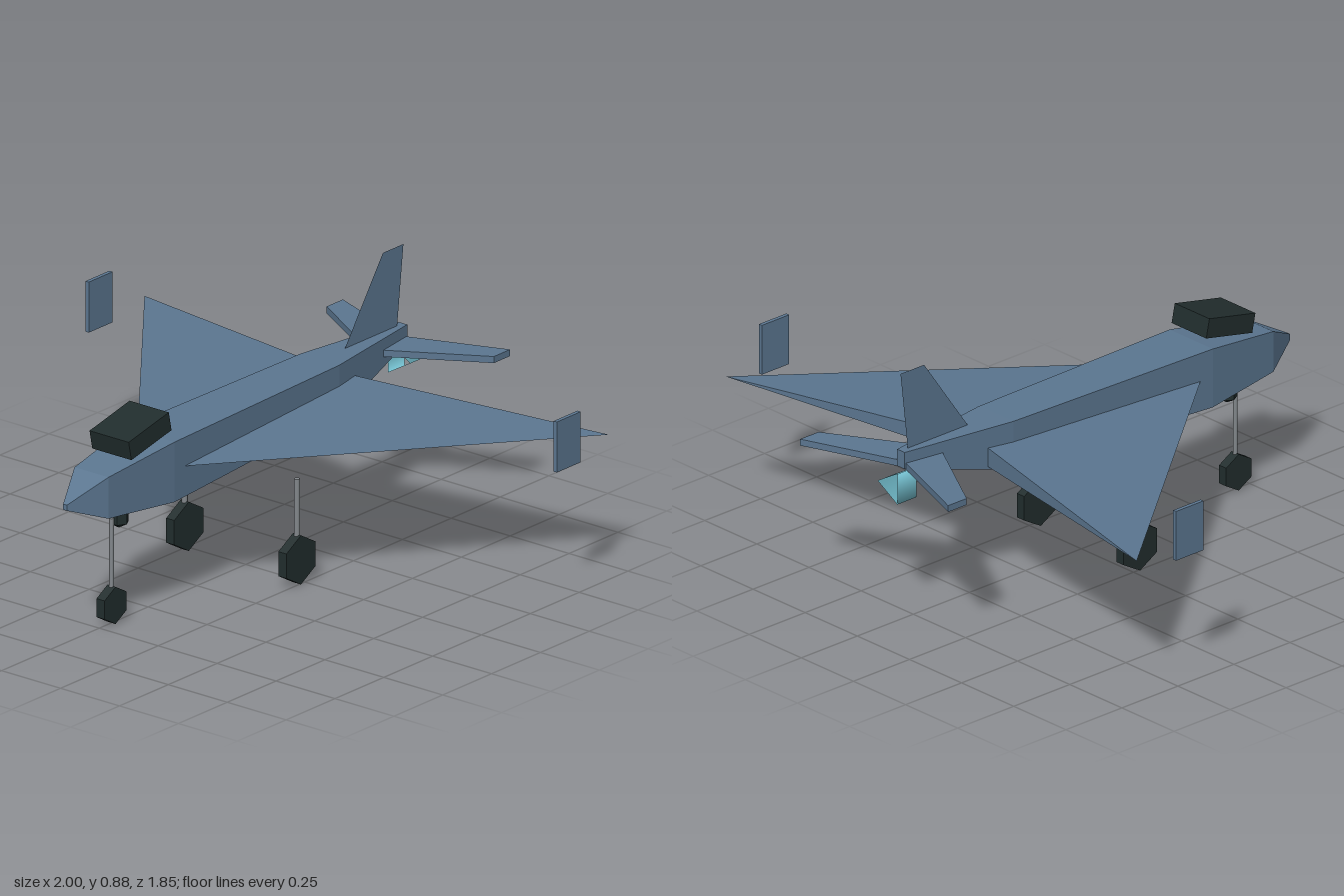
import * as THREE from 'three';
import { ConvexGeometry } from 'three/addons/geometries/ConvexGeometry.js';

const mat = (name, color) => new THREE.MeshStandardMaterial({ name, color });
const V = (x, y, z) => new THREE.Vector3(x, y, z);

// Faceted loft through rectangular sections [z, halfWidth, bottom, top], front to back
function loft(sections) {
  const pos = [], index = [];
  for (const [z, w, b, t] of sections) pos.push(-w, b, z, w, b, z, w, t, z, -w, t, z);
  for (let s = 0; s < sections.length - 1; s++) {
    for (let i = 0; i < 4; i++) {
      const a = s * 4 + i, b = s * 4 + (i + 1) % 4;
      index.push(a, a + 4, b + 4, a, b + 4, b);
    }
  }
  const e = (sections.length - 1) * 4;
  index.push(0, 1, 2, 0, 2, 3, e, e + 2, e + 1, e, e + 3, e + 2);
  const g = new THREE.BufferGeometry();
  g.setAttribute('position', new THREE.Float32BufferAttribute(pos, 3));
  g.setIndex(index);
  const flat = g.toNonIndexed();
  flat.computeVertexNormals();
  return flat;
}

export function createModel() {
  const model = new THREE.Group();
  const blue = mat('bodyBlue', 0x5b7690);
  const dark = mat('darkGlassAndRubber', 0x212d2d);
  const grey = mat('strutGrey', 0x83888c);
  const cyan = mat('exhaustCyan', 0x78c6d6);
  blue.side = cyan.side = THREE.DoubleSide;

  const add = (name, geometry, material, x = 0, y = 0, z = 0) => {
    const m = new THREE.Mesh(geometry, material);
    m.name = name;
    m.position.set(x, y, z);
    model.add(m);
    return m;
  };

  // Fuselage
  add('fuselage', loft([
    [0.925, 0.008, 0.465, 0.485],
    [0.79, 0.072, 0.413, 0.558],
    [0.49, 0.104, 0.39, 0.6],
    [-0.38, 0.082, 0.432, 0.605],
    [-0.805, 0.018, 0.545, 0.605],
  ]), blue);

  // Canopy, tilted up towards the back
  add('canopy', new THREE.BoxGeometry(0.166, 0.068, 0.21), dark, 0, 0.645, 0.59).rotation.x = 0.21;

  // Sensor ball under the nose
  add('sensorBall', new THREE.SphereGeometry(0.04, 6, 3).toNonIndexed(), dark, 0, 0.363, 0.65)
    .geometry.computeVertexNormals();

  // Wings, tailplanes and tip plates on both sides
  for (const [side, s] of [['left', 1], ['right', -1]]) {
    add(side + 'Wing', new ConvexGeometry([
      V(0, 0.5, 0.565), V(0, 0.538, -0.465), V(0, 0.466, -0.465), V(s * 0.985, 0.498, -0.67),
    ]), blue);

    const outline = [[0, -0.632], [0.355, -0.842], [0.355, -0.925], [0, -0.793]];
    add(side + 'Tailplane', new ConvexGeometry(
      outline.flatMap(([x, z]) => [V(s * x, 0.542, z), V(s * x, 0.565, z)])
    ), blue);

    add(side + 'TipPlate', new THREE.BoxGeometry(0.014, 0.177, 0.122), blue, s * 0.993, 0.542, -0.447);
  }

  // Tail fin: a thin sheet drawn in z and y
  const fin = new THREE.Shape([[0.497, 0.59], [0.702, 0.882], [0.807, 0.882], [0.773, 0.59]]
    .map(([x, y]) => new THREE.Vector2(x, y)));
  add('tailFin', new THREE.ShapeGeometry(fin), blue).rotation.y = Math.PI / 2;

  // Three-sided open exhaust
  add('exhaust', new THREE.CylinderGeometry(0.063, 0.063, 0.085, 3, 1, true, Math.PI / 2), cyan, 0, 0.491, -0.808)
    .rotation.x = Math.PI / 2;

  // Landing gear: strut with a six-sided wheel, point down
  const gear = (name, x, z, radius, strutRadius) => {
    add(name + 'Strut', new THREE.CylinderGeometry(strutRadius, strutRadius, 0.367 - radius, 8),
      grey, x, (0.367 + radius) / 2, z);
    const wheel = new THREE.CylinderGeometry(radius, radius, 0.034, 6).rotateZ(Math.PI / 2);
    // One corner points straight down
    wheel.rotateX(Math.PI / 6);
    wheel.computeBoundingBox();
    if (-wheel.boundingBox.min.y < radius * 0.95) wheel.rotateX(Math.PI / 6);
    const flat = wheel.toNonIndexed();
    flat.computeVertexNormals();
    add(name + 'Wheel', flat, dark, x, radius, z);
  };
  gear('nose', 0, 0.687, 0.065, 0.008);
  gear('leftMain', 0.238, 0.025, 0.086, 0.01);
  gear('rightMain', -0.238, 0.025, 0.086, 0.01);

  return model;
}
